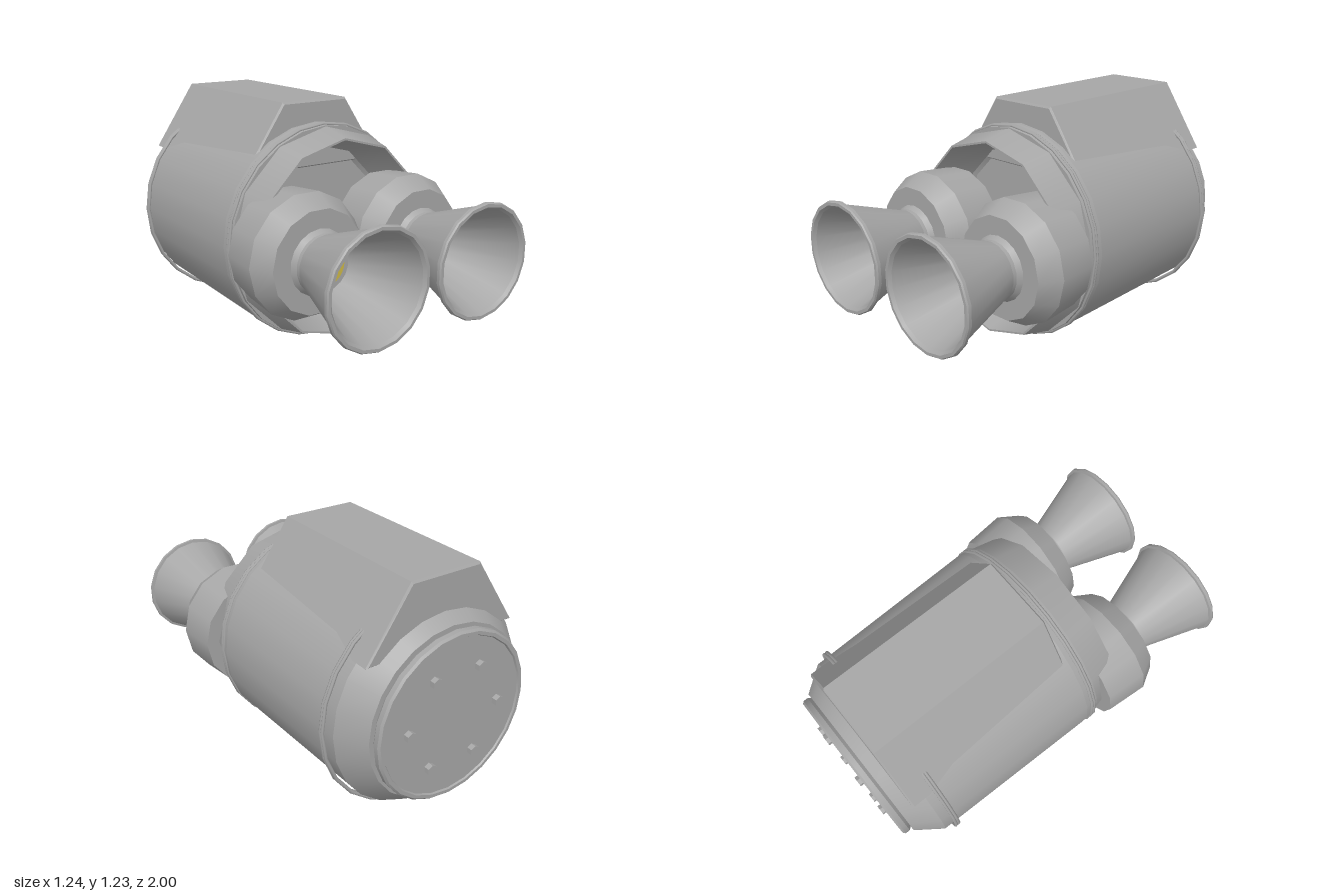
import * as THREE from 'three';
import { mergeGeometries } from 'three/addons/utils/BufferGeometryUtils.js';

const AXIS_Y = 0.565;

// Turned part along z from [radius, z] points, with a crisp edge at each point.
function turned(points, sides, spin = 0) {
  const bands = [];
  for (let i = 0; i + 1 < points.length; i++) {
    const pair = [points[i], points[i + 1]].map(([r, z]) => new THREE.Vector2(r, z));
    bands.push(new THREE.LatheGeometry(pair, sides));
  }
  return mergeGeometries(bands).rotateX(Math.PI / 2).rotateZ(spin);
}

export function createModel() {
  const model = new THREE.Group();
  model.name = 'twinNozzleThruster';

  const grey = new THREE.MeshStandardMaterial({ color: 0xa6a6a6 });
  grey.name = 'greyMetal';
  const yellow = new THREE.MeshStandardMaterial({ color: 0xcdb846 });
  yellow.name = 'yellowGlow';

  const add = (name, geometry, x = 0, y = AXIS_Y, z = 0, material = grey, parent = model) => {
    const mesh = new THREE.Mesh(geometry, material);
    mesh.name = name;
    mesh.position.set(x, y, z);
    parent.add(mesh);
    return mesh;
  };

  // Main tank with chamfered rear shoulder
  add('tank', turned([
    [0, -0.93], [0.44, -0.93], [0.535, -0.8], [0.558, 0.12], [0.55, 0.19], [0.5, 0.19],
  ], 24));

  // Hollow front shroud
  add('frontShroud', turned([
    [0.552, 0.16], [0.51, 0.35], [0.5, 0.35], [0.44, 0.1], [0.42, 0.085], [0, 0.085],
  ], 12));

  // Raised bands around the tank
  for (const z of [0.16, -0.74]) {
    for (const offset of [-0.007, 0.007]) {
      add('band', new THREE.TorusGeometry(0.555, 0.009, 6, 24), 0, AXIS_Y, z + offset);
    }
  }

  // Rear end cap
  add('endCap', turned([
    [0, -0.972], [0.395, -0.972], [0.4, -0.98], [0.417, -0.98], [0.427, -0.97],
    [0.427, -0.945], [0.415, -0.93],
  ], 24));

  // Six hexagonal bolts
  for (let i = 0; i < 6; i++) {
    const a = i * Math.PI / 3;
    const bolt = new THREE.CylinderGeometry(0.027, 0.027, 0.035, 6).toNonIndexed();
    bolt.rotateX(Math.PI / 2);
    bolt.computeVertexNormals();
    add('bolt', bolt, 0.26 * Math.cos(a), AXIS_Y + 0.26 * Math.sin(a), -0.982);
  }

  // Angular housing along the top
  const outline = new THREE.Shape();
  outline.moveTo(-0.405, 0.9);
  outline.lineTo(0.405, 0.9);
  outline.lineTo(0.185, 1.222);
  outline.lineTo(-0.185, 1.222);
  outline.closePath();
  const housing = new THREE.ExtrudeGeometry(outline, {
    depth: 0.954, bevelEnabled: true, bevelSize: 0.01, bevelThickness: 0.008, bevelSegments: 1,
  });
  add('topHousing', housing, 0, 0, -0.862);

  // Pair of engines
  for (const side of [-1, 1]) {
    const engine = new THREE.Group();
    engine.name = side > 0 ? 'leftEngine' : 'rightEngine';
    engine.position.set(side * 0.308, AXIS_Y, 0);
    model.add(engine);

    add('chamber', turned([
      [0, 0.245], [0.295, 0.245], [0.314, 0.46], [0.255, 0.565], [0, 0.565],
    ], 14, Math.PI / 2), 0, 0, 0, grey, engine);

    // Bell with throat collar, outer lip and hollow inside
    add('nozzle', turned([
      [0.165, 0.56], [0.145, 0.59], [0.145, 0.61], [0.268, 0.975], [0.282, 0.978],
      [0.282, 0.993], [0.277, 1.0], [0.262, 1.0], [0.25, 0.985], [0.124, 0.62], [0, 0.62],
    ], 18), 0, 0, 0, grey, engine);

    add('glowDisc', new THREE.CircleGeometry(0.097, 24), 0, 0, 0.625, yellow, engine);
  }

  return model;
}
